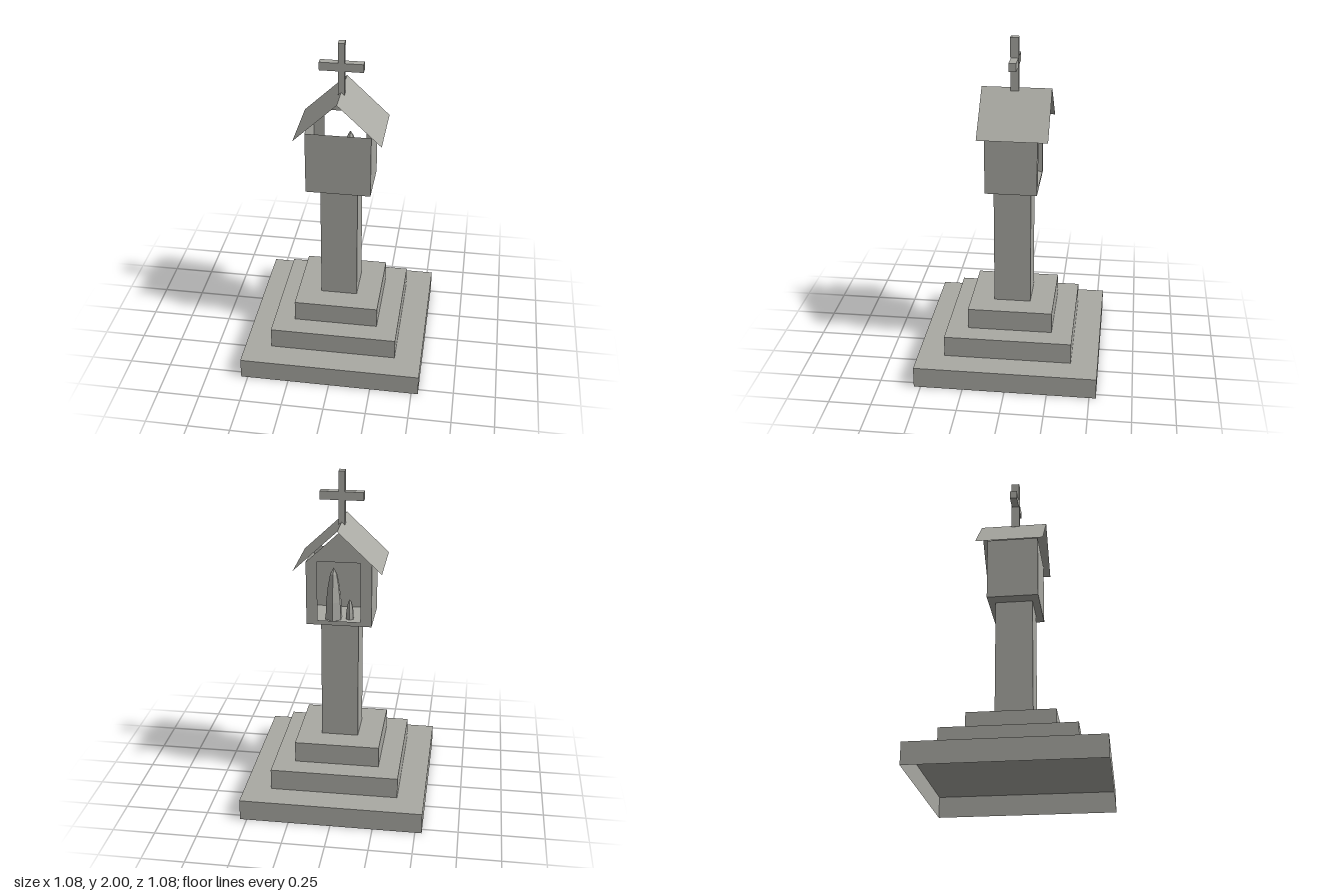
import * as THREE from 'three';

const stone = new THREE.MeshStandardMaterial({ color: 0xa9a9a3, side: THREE.DoubleSide, flatShading: true });
stone.name = 'stone';

// Box faces in index order, so that single sides can be left open
const FACES = ['right', 'left', 'top', 'bottom', 'front', 'back'];

function openBox(w, h, d, omit = []) {
  const geo = new THREE.BoxGeometry(w, h, d);
  const index = Array.from(geo.index.array);
  geo.setIndex(index.filter((_, i) => !omit.includes(FACES[Math.floor(i / 6)])));
  geo.clearGroups();
  return geo;
}

export function createModel() {
  const model = new THREE.Group();
  model.name = 'waysideShrine';

  function add(name, geo, x = 0, y = 0, z = 0) {
    const mesh = new THREE.Mesh(geo, stone);
    mesh.name = name;
    mesh.position.set(x, y, z);
    model.add(mesh);
    return mesh;
  }

  // Stepped base, hollow underneath
  [1.08, 0.76, 0.506].forEach((w, i) => {
    add('step' + (i + 1), openBox(w, 0.127, w, ['bottom']), 0, 0.127 * (i + 0.5), 0);
  });

  // Square column
  add('column', openBox(0.22, 0.737, 0.22, ['top', 'bottom']), 0, 0.7495, 0);

  // Niche: floor, front and side walls
  add('nicheWalls', openBox(0.38, 0.38, 0.304, ['top', 'back']), 0, 1.308, 0);

  // Gabled back wall with a rectangular opening
  const wall = new THREE.Shape([
    [-0.19, 1.118], [0.19, 1.118], [0.19, 1.498], [0, 1.678], [-0.19, 1.498],
  ].map(([x, y]) => new THREE.Vector2(x, y)));
  wall.holes.push(new THREE.Path([
    [-0.125, 1.145], [-0.125, 1.505], [0.125, 1.505], [0.125, 1.145],
  ].map(([x, y]) => new THREE.Vector2(x, y))));
  add('gableWall', new THREE.ShapeGeometry(wall).rotateY(Math.PI), 0, 0, -0.152);

  // Thin roof slopes
  const run = 0.253, rise = 0.24, ridge = 1.705;
  for (const side of [-1, 1]) {
    const slope = new THREE.PlaneGeometry(Math.hypot(run, rise), 0.406);
    slope.rotateX(-Math.PI / 2).rotateZ(-side * Math.atan2(rise, run));
    add(side > 0 ? 'leftRoof' : 'rightRoof', slope, side * run / 2, ridge - rise / 2, -0.014);
  }

  // Cross on the ridge
  add('crossUpright', new THREE.BoxGeometry(0.037, 0.312, 0.049), 0, 1.844, -0.003);
  add('crossArm', new THREE.BoxGeometry(0.252, 0.049, 0.043), 0, 1.856, -0.003);

  // Tapered figures standing in the niche
  function figure(name, radius, height, x, z) {
    const profile = [[1, 0], [0.92, 0.35], [0.7, 0.65], [0.42, 0.88], [0, 1]]
      .map(([r, y]) => new THREE.Vector2(r * radius, y * height));
    add(name, new THREE.LatheGeometry(profile, 6), x, 1.12, z);
  }
  figure('tallFigure', 0.052, 0.315, 0.045, -0.045);
  figure('smallFigure', 0.025, 0.12, -0.05, -0.04);

  return model;
}
